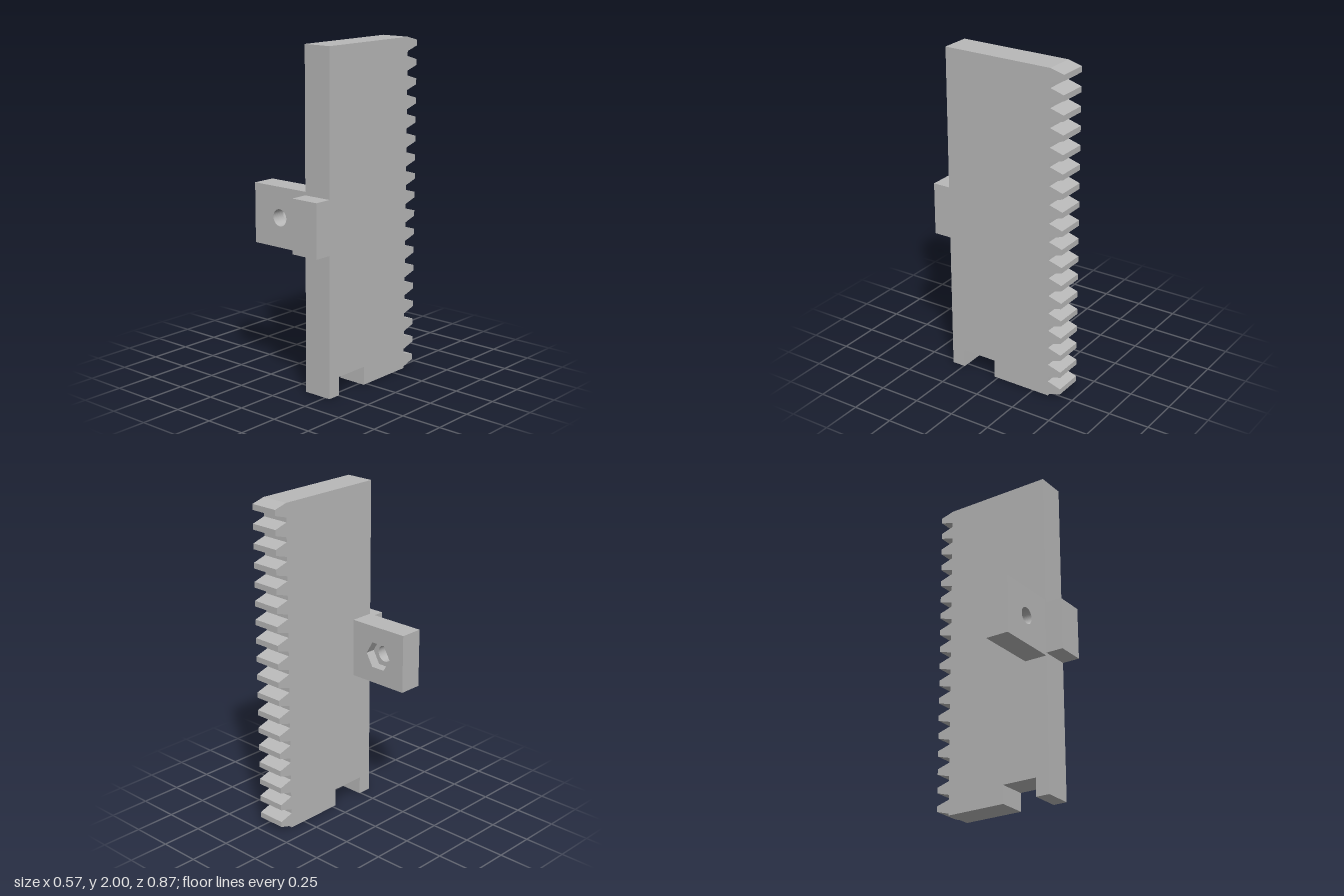
import * as THREE from 'three';

const grey = new THREE.MeshStandardMaterial({ color: 0xb8b8b8 });
grey.name = 'grey';

function extrude(shape, depth) {
  return new THREE.ExtrudeGeometry(shape, { depth, bevelEnabled: false, curveSegments: 24 });
}

// Rack outline in (-z, y): notch at the foot, front lug, teeth along the back
function rackGeometry() {
  const teeth = 18, pitch = 0.1122, first = 0.053;
  const root = 0.353, tip = 0.437;
  const points = [
    [root, 0], [-0.024, 0], [-0.024, 0.111], [-0.244, 0.111], [-0.244, 0],
    [-0.329, 0], [-0.329, 0.842], [-0.437, 0.842], [-0.437, 1.16], [-0.329, 1.16],
    [-0.329, 2], [root, 2],
  ];
  for (let i = teeth - 1; i >= 0; i--) {
    const y = first + i * pitch;
    if (i < teeth - 1) points.push([root, y + 0.042]);
    points.push([tip, y + 0.017], [tip, y - 0.017], [root, y - 0.042]);
  }
  const shape = new THREE.Shape(points.map(([u, y]) => new THREE.Vector2(u, y)));
  return extrude(shape, 0.178).rotateY(Math.PI / 2).translate(0.105, 0, 0);
}

// One layer of the side tab, pierced by the given hole
function tabLayer(hole, z0, z1) {
  const shape = new THREE.Shape();
  shape.moveTo(-0.285, 0.825).lineTo(0.105, 0.825).lineTo(0.105, 1.18).lineTo(-0.285, 1.18).closePath();
  shape.holes.push(hole);
  return extrude(shape, z1 - z0).translate(0, 0, z0);
}

export function createModel() {
  const model = new THREE.Group();
  const add = (name, geometry) => {
    const mesh = new THREE.Mesh(geometry, grey);
    mesh.name = name;
    model.add(mesh);
  };
  const cx = -0.092, cy = 1.0, floor = 0.245;

  add('toothedRack', rackGeometry());

  // Round bolt hole in the front of the tab
  const bolt = new THREE.Path();
  bolt.absarc(cx, cy, 0.05, 0, Math.PI * 2, true);
  add('tabFront', tabLayer(bolt, floor, 0.328));

  // Hexagonal nut pocket in the back of the tab
  const nut = new THREE.Path();
  const corners = [];
  for (let i = 0; i < 6; i++) {
    const a = -i * Math.PI / 3;
    corners.push(new THREE.Vector2(cx + 0.09 * Math.cos(a), cy + 0.09 * Math.sin(a)));
  }
  nut.setFromPoints(corners).closePath();
  add('tabBack', tabLayer(nut, 0.184, floor));

  return model;
}
